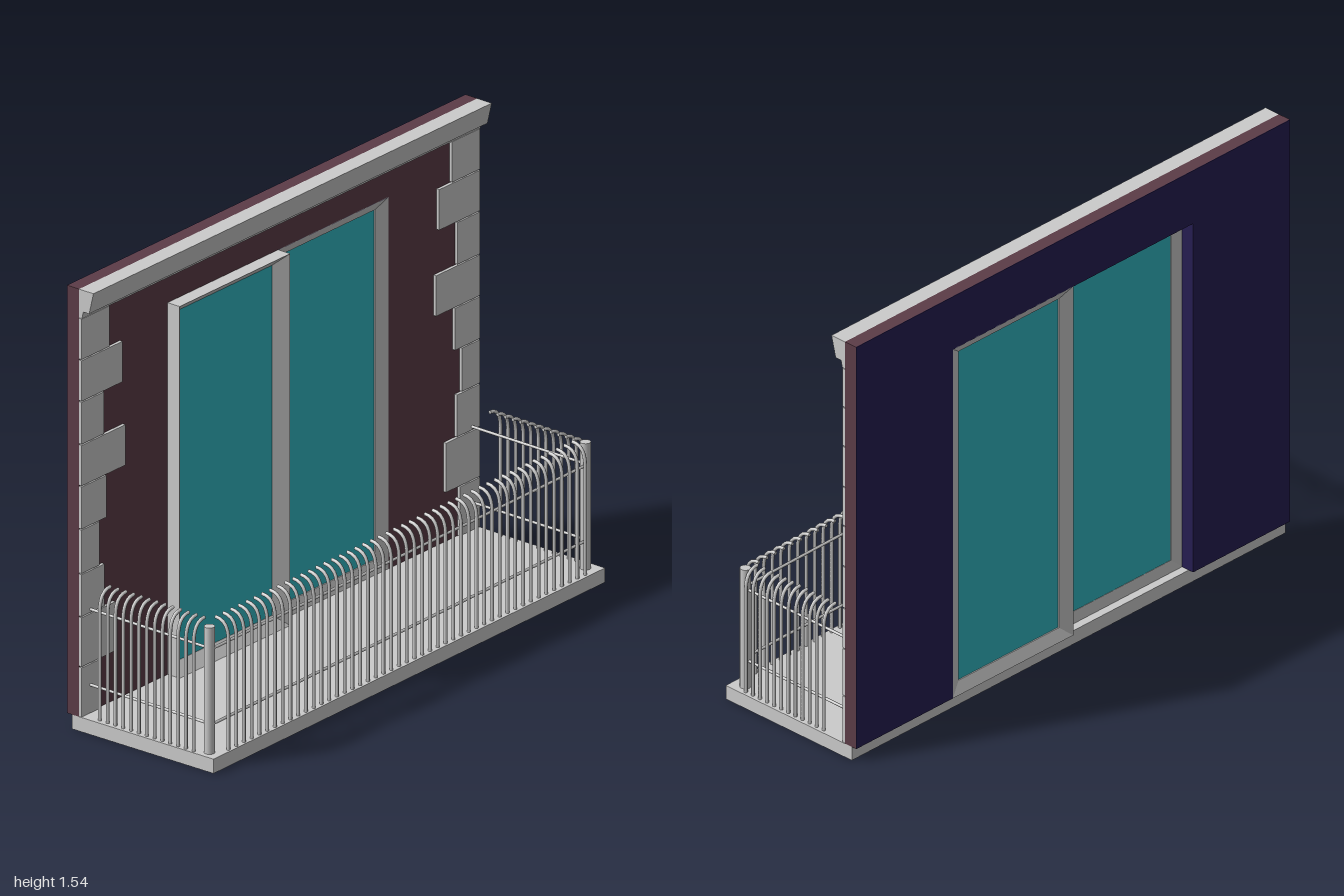
import * as THREE from 'three';

const paint = (color) => new THREE.MeshStandardMaterial({ color });
const grey = paint(0xcccccc);
const brick = paint(0x5c3c47);
const inside = paint(0x261e52);
const glassMat = paint(0x33b9c4);

function add(parent, name, geometry, material = grey, x = 0, y = 0, z = 0) {
  const mesh = new THREE.Mesh(geometry, material);
  mesh.name = name;
  mesh.position.set(x, y, z);
  parent.add(mesh);
  return mesh;
}

function polygon(points) {
  return new THREE.Shape(points.map(([x, y]) => new THREE.Vector2(x, y)));
}

function extrude(points, depth) {
  return new THREE.ExtrudeGeometry(polygon(points), { depth, bevelEnabled: false });
}

// Rod running between two points
function rod(parent, name, a, b, radius) {
  const from = new THREE.Vector3(...a);
  const to = new THREE.Vector3(...b);
  const dir = to.clone().sub(from);
  const mesh = add(parent, name, new THREE.CylinderGeometry(radius, radius, dir.length(), 8));
  mesh.position.copy(from).add(to).multiplyScalar(0.5);
  mesh.quaternion.setFromUnitVectors(new THREE.Vector3(0, 1, 0), dir.normalize());
}

// Mitred frame: a tapered section carried round the four corners
function frameGeometry(w, h, depth, front, back) {
  const section = [[0, depth / 2], [1, front], [1, back], [0, -depth / 2]];
  const corners = [[-1, 0], [1, 0], [1, 1], [-1, 1]];
  const point = (i, j) => {
    const [cx, cy] = corners[i % 4];
    const [inset, z] = section[j % 4];
    return [cx * (w / 2 - inset * 0.046), cy ? h - inset * 0.035 : inset * 0.04, z];
  };
  const pos = [];
  for (let i = 0; i < 4; i++) {
    for (let j = 0; j < 4; j++) {
      const [a, b, c, d] = [point(i, j), point(i + 1, j), point(i + 1, j + 1), point(i, j + 1)];
      pos.push(...a, ...b, ...c, ...a, ...c, ...d);
    }
  }
  const geometry = new THREE.BufferGeometry();
  geometry.setAttribute('position', new THREE.Float32BufferAttribute(pos, 3));
  geometry.computeVertexNormals();
  return geometry;
}

function doorPanel(name, x, z, front, back) {
  const panel = new THREE.Group();
  panel.name = name;
  panel.position.set(x, 0.05, z);
  add(panel, 'doorFrame', frameGeometry(0.555, 1.295, 0.05, front, back));
  add(panel, 'glass', new THREE.BoxGeometry(0.47, 1.225, 0.004), glassMat, 0, 0.6495, (front + back) / 2);
  return panel;
}

export function createModel() {
  const model = new THREE.Group();
  model.name = 'balconyFacade';

  // Floor slab, its front edge slightly askew
  const slab = extrude([[-1, 0.28], [-0.99, -0.30], [1, -0.28], [1, 0.28]], 0.05);
  slab.rotateX(-Math.PI / 2);
  add(model, 'floorSlab', slab);

  // Wall with a doorway open at the bottom, lined on the inside
  const W = 0.555, T = 1.345;
  const outline = [[-1, 0.05], [-W, 0.05], [-W, T], [W, T], [W, 0.05], [1, 0.05], [1, 1.54], [-1, 1.54]];
  add(model, 'wall', extrude(outline, 0.048), brick, 0, 0, -0.298);
  add(model, 'innerWallFace', extrude(outline, 0.002), inside, 0, 0, -0.3);
  for (const side of [-1, 1]) {
    add(model, 'doorwayLining', new THREE.BoxGeometry(0.004, T - 0.05, 0.049), inside, side * W, (T + 0.05) / 2, -0.2752);
  }
  add(model, 'doorwayLining', new THREE.BoxGeometry(2 * W, 0.004, 0.049), inside, 0, T, -0.2752);

  // Cornice
  const cornice = extrude(
    [[0.25, 1.54], [0.19, 1.54], [0.208, 1.465], [0.232, 1.465], [0.238, 1.44], [0.25, 1.44]], 2);
  cornice.rotateY(Math.PI / 2);
  add(model, 'cornice', cornice, grey, -1, 0, 0);

  // Corner stones, listed from the top down
  const levels = [1.44, 1.295, 1.15, 1.0, 0.855, 0.705, 0.55, 0.4, 0.225, 0.05];
  const inner = [0.86, 0.795, 0.887, 0.78, 0.875, 0.91, 0.885, 0.83, 0.9];
  for (const side of [-1, 1]) {
    inner.forEach((x, i) => {
      const h = levels[i] - levels[i + 1];
      add(model, 'cornerStone', new THREE.BoxGeometry(1 - x, h - 0.004, 0.012), grey,
        side * (1 + x) / 2, levels[i] - h / 2, -0.245);
    });
  }

  // Sliding door: one panel stands forward of the other
  model.add(doorPanel('rightDoorPanel', -0.2775, -0.225, -0.012, -0.018));
  model.add(doorPanel('leftDoorPanel', 0.2775, -0.275, 0.006, -0.006));

  // Railing
  const railing = new THREE.Group();
  railing.name = 'railing';
  model.add(railing);
  const frontZ = (x) => 0.252 - 0.012 * x;
  const postX = [-0.955, 0.96];
  for (const x of postX) {
    add(railing, 'cornerPost', new THREE.CylinderGeometry(0.018, 0.018, 0.44, 16), grey, x, 0.27, frontZ(x) - 0.009);
  }
  for (const y of [0.15, 0.413]) {
    rod(railing, 'frontRail', [postX[0], y, frontZ(postX[0])], [postX[1], y, frontZ(postX[1])], 0.005);
    for (const x of postX) rod(railing, 'sideRail', [x, y, frontZ(x)], [x, y, -0.25], 0.005);
  }

  // Upright bar whose head bends inward; local +z points outward
  const path = new THREE.CurvePath();
  const v = (y, z) => new THREE.Vector3(0, y, z);
  path.add(new THREE.LineCurve3(v(0.05, 0.025), v(0.43, 0.025)));
  path.add(new THREE.CubicBezierCurve3(v(0.43, 0.025), v(0.475, 0.025), v(0.499, 0.008), v(0.499, -0.028)));
  const barGeometry = new THREE.TubeGeometry(path, 30, 0.006, 8);
  const capGeometry = new THREE.CircleGeometry(0.006, 8);
  const addBar = (name, x, z, turn) => {
    const bar = add(railing, name, barGeometry, grey, x, 0, z);
    bar.rotation.y = turn;
    const cap = add(bar, 'barEnd', capGeometry, grey, 0, 0.499, -0.028);
    cap.rotation.y = Math.PI;
  };
  for (let i = 0; i < 47; i++) {
    const x = -0.9 + i * 0.0395;
    addBar('frontBar', x, frontZ(x), 0);
  }
  for (let i = 0; i < 13; i++) addBar('rightSideBar', postX[0], 0.21 - i * 0.0325, -Math.PI / 2);
  for (let i = 0; i < 12; i++) addBar('leftSideBar', postX[1], 0.205 - i * 0.0315, Math.PI / 2);

  return model;
}
